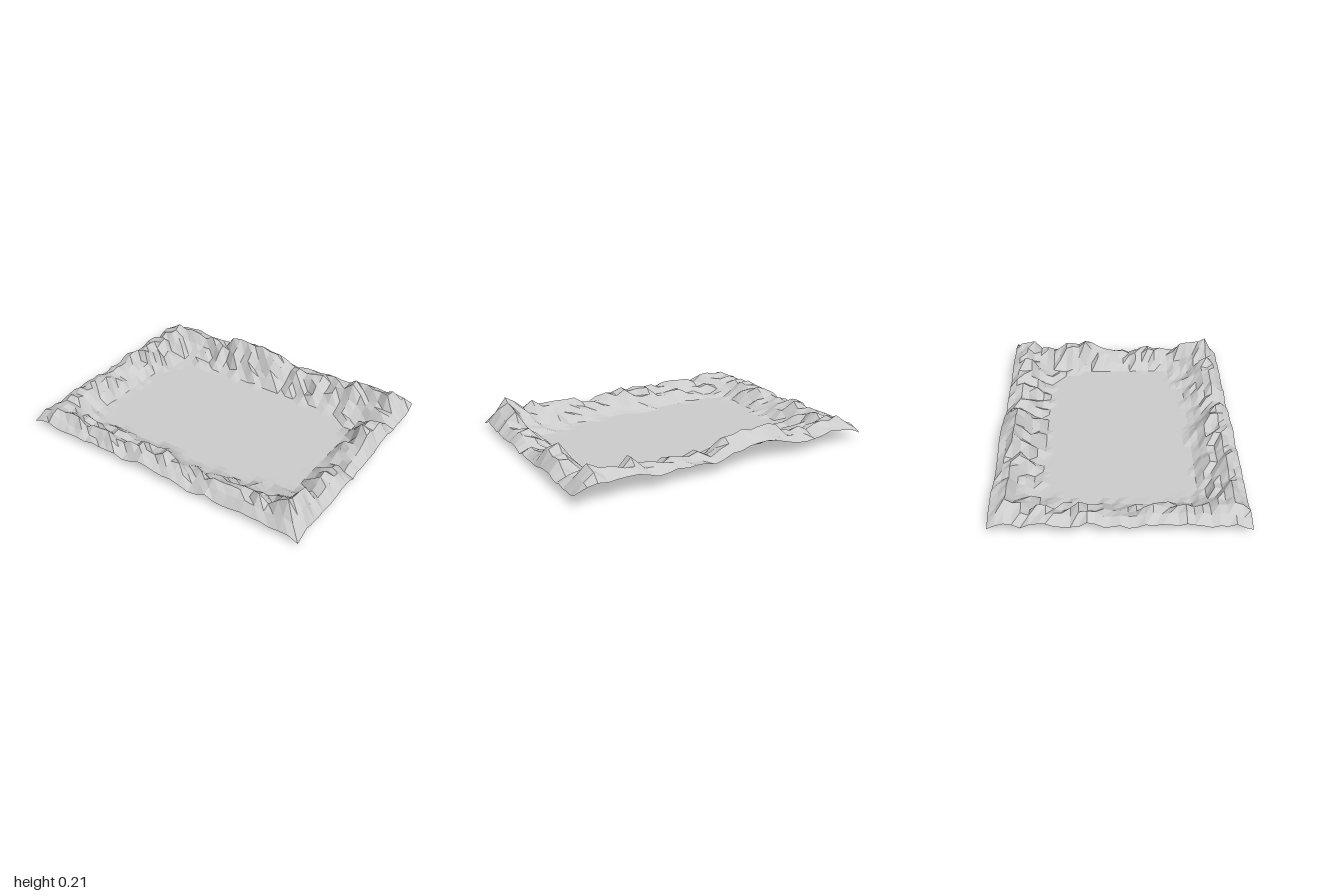
import * as THREE from 'three';

const N = 32;                 // cells along each side
const HX = 1, HZ = 0.75;      // half extents

// Ridge heights along each side, evenly spaced (towards +x or +z)
const crest = {
  back: [.12, .15, .14, .13, .13, .18, .21, .20, .18, .12, .13, .15, .14, .19, .16, .19, .14],
  front: [.10, .12, .12, .11, .10, .12, .11, .12, .13, .10, .10, .12, .11, .13, .15, .20, .18],
  right: [.17, .20, .13, .10, .17, .18, .21, .13, .08, .09, .14, .13, .13, .14, .16, .20, .15],
  left: [.12, .14, .13, .12, .11, .12, .13, .11, .10, .10, .12, .13, .12, .11, .13, .13, .09],
};

// Heights of the outer border
const border = {
  back: [.06, .09, .10, .08, .09, .11, .14, .13, .11, .08, .09, .10, .09, .13, .12, .13, .10],
  front: [.03, .06, .03, .04, .05, .06, .04, .07, .06, .05, .03, .05, .04, .05, .04, .05, .02],
  right: [.10, .05, .05, .06, .07, .06, .05, .05, .04, .03, .05, .05, .03, .04, .04, .06, .02],
  left: [.06, .08, .06, .08, .07, .06, .08, .06, .06, .05, .07, .06, .07, .06, .05, .06, .03],
};

const clamp01 = (v) => Math.min(1, Math.max(0, v));

// Linear lookup in a table, t from 0 to 1
function sample(table, t) {
  const f = clamp01(t) * (table.length - 1);
  const i = Math.min(table.length - 2, Math.floor(f));
  return THREE.MathUtils.lerp(table[i], table[i + 1], f - i);
}

// Small seeded random
function seeded(seed) {
  let s = seed;
  return () => (s = (s * 16807) % 2147483647) / 2147483647;
}

// Position across the rim: below 1 on the floor, 2 on the crest
const across = (a, floor, top) => (a < floor ? a / floor : 1 + (a - floor) / (top - floor));

function heightAt(x, z, noise) {
  const ax = Math.abs(x), az = Math.abs(z);
  const sideX = x > 0 ? 'right' : 'left';
  const sideZ = z > 0 ? 'front' : 'back';
  const floorX = x > 0 ? 0.76 : 0.74;
  const floorZ = z > 0 ? 0.45 - 0.04 * x : 0.46;
  const ux = across(ax, floorX, 0.9);
  const uz = across(az, floorZ, 0.65);

  // Rounded rectangular floor rising to the ridge
  const q = Math.pow(ux ** 4 + uz ** 4, 0.25);
  if (q < 0.95) return 0;
  const rise = clamp01(q - 1 + noise * 0.15 * clamp01((q - 0.95) * 8));

  // Blend the two neighbouring sides near a corner
  const w = uz ** 6 / (ux ** 6 + uz ** 6);
  const tx = (x + HX) / (2 * HX), tz = (z + HZ) / (2 * HZ);
  const top = THREE.MathUtils.lerp(sample(crest[sideX], tz), sample(crest[sideZ], tx), w);

  // Fall from the ridge to the border
  const outX = clamp01((ax - 0.9) / 0.1), outZ = clamp01((az - 0.66) / 0.09);
  const out = Math.max(outX, outZ);
  const edge = outX > outZ ? sample(border[sideX], tz) : sample(border[sideZ], tx);

  const y = THREE.MathUtils.lerp(top * rise ** 1.15, edge, out);
  return Math.max(0, y + noise * 0.022 * rise * (1 - 0.5 * out));
}

export function createModel() {
  const group = new THREE.Group();
  group.name = 'valleyTerrain';

  // Grid of cells pushed up into a ring of hills around a flat floor
  const geometry = new THREE.PlaneGeometry(2 * HX, 2 * HZ, N, N).rotateX(-Math.PI / 2);
  const position = geometry.attributes.position;
  const random = seeded(4711);
  for (let i = 0; i < position.count; i++) {
    const noise = random() * 2 - 1.2;
    position.setY(i, heightAt(position.getX(i), position.getZ(i), noise));
  }

  // Cells split from back left to front right
  const index = [];
  for (let r = 0; r < N; r++) {
    for (let c = 0; c < N; c++) {
      const a = r * (N + 1) + c, b = a + N + 1;
      index.push(a, b, b + 1, a, b + 1, a + 1);
    }
  }
  geometry.setIndex(index);
  geometry.computeVertexNormals();

  const material = new THREE.MeshStandardMaterial({
    color: 0xcccccc, flatShading: true, side: THREE.DoubleSide,
  });
  const terrain = new THREE.Mesh(geometry, material);
  terrain.name = 'terrain';
  group.add(terrain);
  return group;
}
